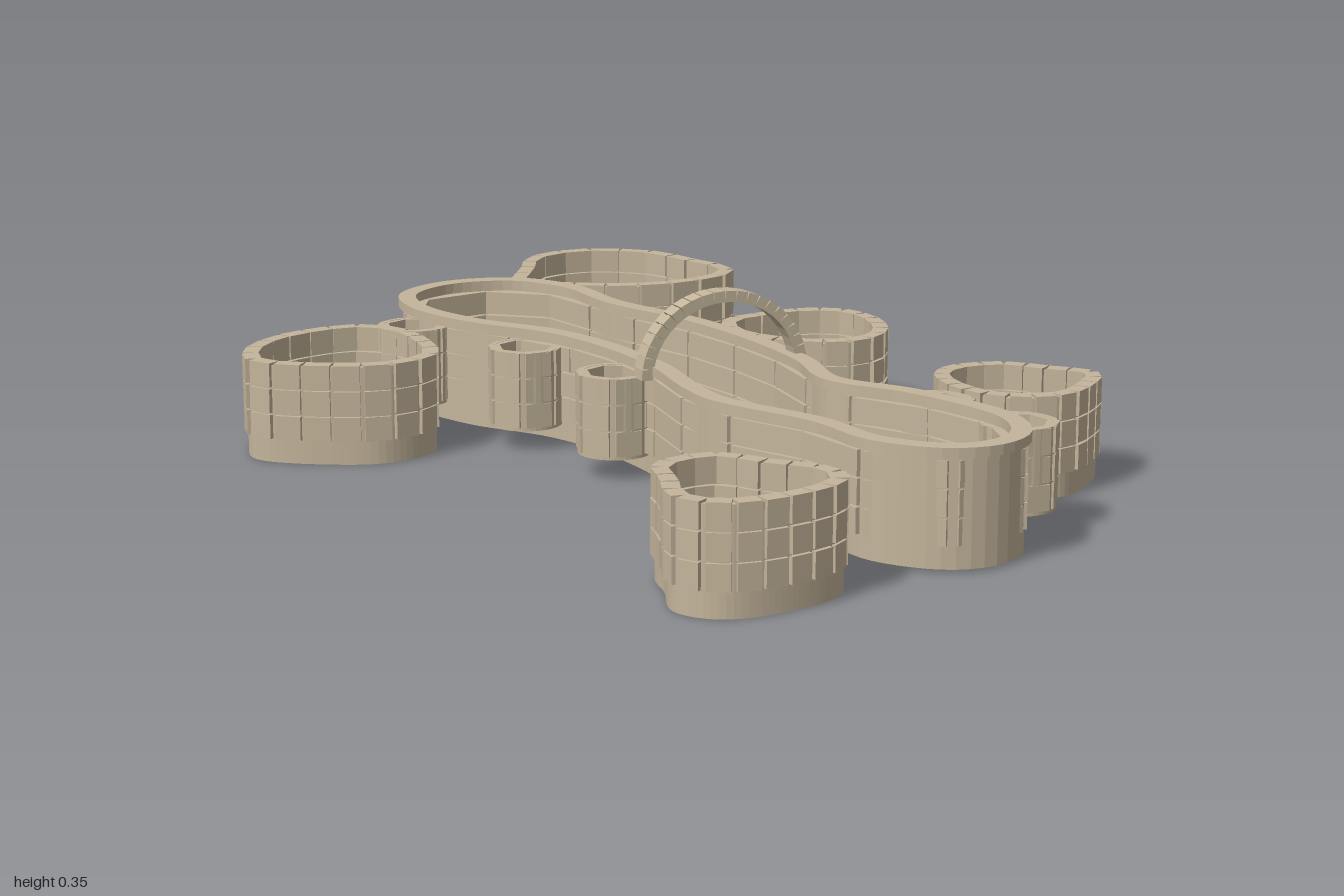
import * as THREE from 'three';
import { mergeGeometries } from 'three/addons/utils/BufferGeometryUtils.js';

const stone = new THREE.MeshStandardMaterial({ color: 0xc4b59b });
stone.name = 'sandstone';

// closed plan curve from [x, z] pairs
const plan = (pts) => new THREE.CatmullRomCurve3(pts.map(([x, z]) => new THREE.Vector3(x, 0, z)), true);

// smooth wall of constant thickness that follows a plan curve
function band(name, curve, steps, thick, y0, y1) {
  const outline = (d) => {
    const out = [];
    for (let i = 0; i < steps; i++) {
      const p = curve.getPointAt(i / steps), t = curve.getTangentAt(i / steps);
      out.push(new THREE.Vector2(p.x - t.z * d, -(p.z + t.x * d)));
    }
    return out;
  };
  const shape = new THREE.Shape(outline(-thick / 2));
  // the hole runs the other way round so its faces look inwards
  shape.holes.push(new THREE.Path(outline(thick / 2).reverse()));
  const g = new THREE.ExtrudeGeometry(shape, { depth: y1 - y0, bevelEnabled: false });
  g.rotateX(-Math.PI / 2).translate(0, y0, 0);
  const mesh = new THREE.Mesh(g, stone);
  mesh.name = name;
  return mesh;
}

// straight blocks laid as chords along a curve, in three courses
function courses(name, curve, count, thick) {
  const parts = [];
  const at = (i) => curve.getPointAt(((i + 0.5) / count) % 1);
  for (let i = 0; i < count; i++) {
    const a = at(i), b = at(i + 1);
    for (let row = 0; row < 3; row++) {
      const wobble = ((i * 7 + row * 5) % 4) * 0.001;
      const g = new THREE.BoxGeometry(a.distanceTo(b) - 0.005, 0.047, thick + wobble);
      g.rotateY(-Math.atan2(b.z - a.z, b.x - a.x));
      g.translate((a.x + b.x) / 2, 0.07 + row * 0.0505, (a.z + b.z) / 2);
      parts.push(g);
    }
  }
  const mesh = new THREE.Mesh(mergeGeometries(parts), stone);
  mesh.name = name;
  return mesh;
}

// irregular free-standing enclosures
const RINGS = [
  [[.43, -.984], [.54, -.965], [.635, -.85], [.638, -.76], [.652, -.65], [.63, -.58], [.56, -.552], [.415, -.56], [.28, -.65], [.205, -.77], [.28, -.85], [.36, -.95]],
  [[-.465, -.57], [-.325, -.56], [-.28, -.485], [-.3, -.345], [-.35, -.25], [-.46, -.23], [-.56, -.29], [-.64, -.385], [-.64, -.43], [-.575, -.52]],
  [[.32, -.165], [.4, -.17], [.49, -.16], [.56, -.105], [.56, -.015], [.49, .1], [.4, .13], [.315, .08], [.262, -.035], [.275, -.11]],
  [[.39, .43], [.49, .46], [.53, .535], [.572, .615], [.52, .665], [.4, .71], [.31, .65], [.295, .565], [.33, .465]],
  [[-.485, .688], [-.37, .692], [-.335, .77], [-.28, .875], [-.31, .94], [-.435, .963], [-.545, .935], [-.58, .865], [-.53, .77]],
];

// long winding hall
const HALL = [
  [0, -.73], [.13, -.68], [.185, -.55], [.165, -.36], [.19, -.13], [.18, .08], [.14, .29], [.08, .45],
  [.13, .6], [.15, .75], [.14, .86], [.08, .95], [0, .978], [-.08, .95], [-.145, .84], [-.14, .68],
  [-.185, .46], [-.17, .36], [-.11, .17], [-.085, -.05], [-.1, -.2], [-.17, -.38], [-.185, -.55], [-.13, -.68],
];

// small round cells against the hall
const CELLS = [[-.23, -.5], [-.16, -.2], [-.15, .085], [.185, .61], [.195, .82]];

export function createModel() {
  const model = new THREE.Group();
  model.name = 'stoneSettlement';

  RINGS.forEach((pts, i) => {
    const g = new THREE.Group(), c = plan(pts);
    g.name = `enclosure${i + 1}`;
    g.add(band('enclosureWall', c, 80, 0.014, 0, 0.19));
    g.add(courses('enclosureBlocks', c, 20, 0.029));
    model.add(g);
  });

  const hall = new THREE.Group(), hc = plan(HALL);
  hall.name = 'hall';
  hall.add(band('hallWall', hc, 160, 0.018, 0.005, 0.2));
  hall.add(courses('hallBlocks', hc, 24, 0.032));
  hall.add(band('hallRim', hc, 160, 0.036, 0.2, 0.218));
  model.add(hall);

  CELLS.forEach(([x, z], i) => {
    const g = new THREE.Group(), pts = [];
    for (let k = 0; k < 10; k++) {
      const a = k / 10 * Math.PI * 2;
      pts.push([x + 0.066 * Math.cos(a), z + 0.066 * Math.sin(a)]);
    }
    const c = plan(pts);
    g.name = `cell${i + 1}`;
    g.add(band('cellWall', c, 40, 0.009, 0.04, 0.195));
    g.add(courses('cellBlocks', c, 7, 0.02));
    model.add(g);
  });

  // arch of wedge stones over the hall, with a thin core joining them
  const arch = new THREE.Group();
  arch.name = 'arch';
  const n = 22, r = 0.158, stones = [];
  for (let i = 0; i < n; i++) {
    const a = (i + 0.5) / n * Math.PI;
    const g = new THREE.BoxGeometry(0.023, r * Math.PI / n - 0.001, 0.038);
    g.translate(r, 0, 0).rotateZ(a);
    stones.push(g);
  }
  const blocks = new THREE.Mesh(mergeGeometries(stones), stone);
  blocks.name = 'archStones';
  const core = new THREE.Mesh(new THREE.TorusGeometry(r, 0.01, 6, 32, Math.PI), stone);
  core.name = 'archCore';
  arch.add(blocks, core);
  arch.position.set(0.018, 0.192, 0.195);
  arch.rotation.y = -Math.atan2(0.075, 0.32);
  arch.scale.y = 0.93;
  model.add(arch);

  return model;
}
